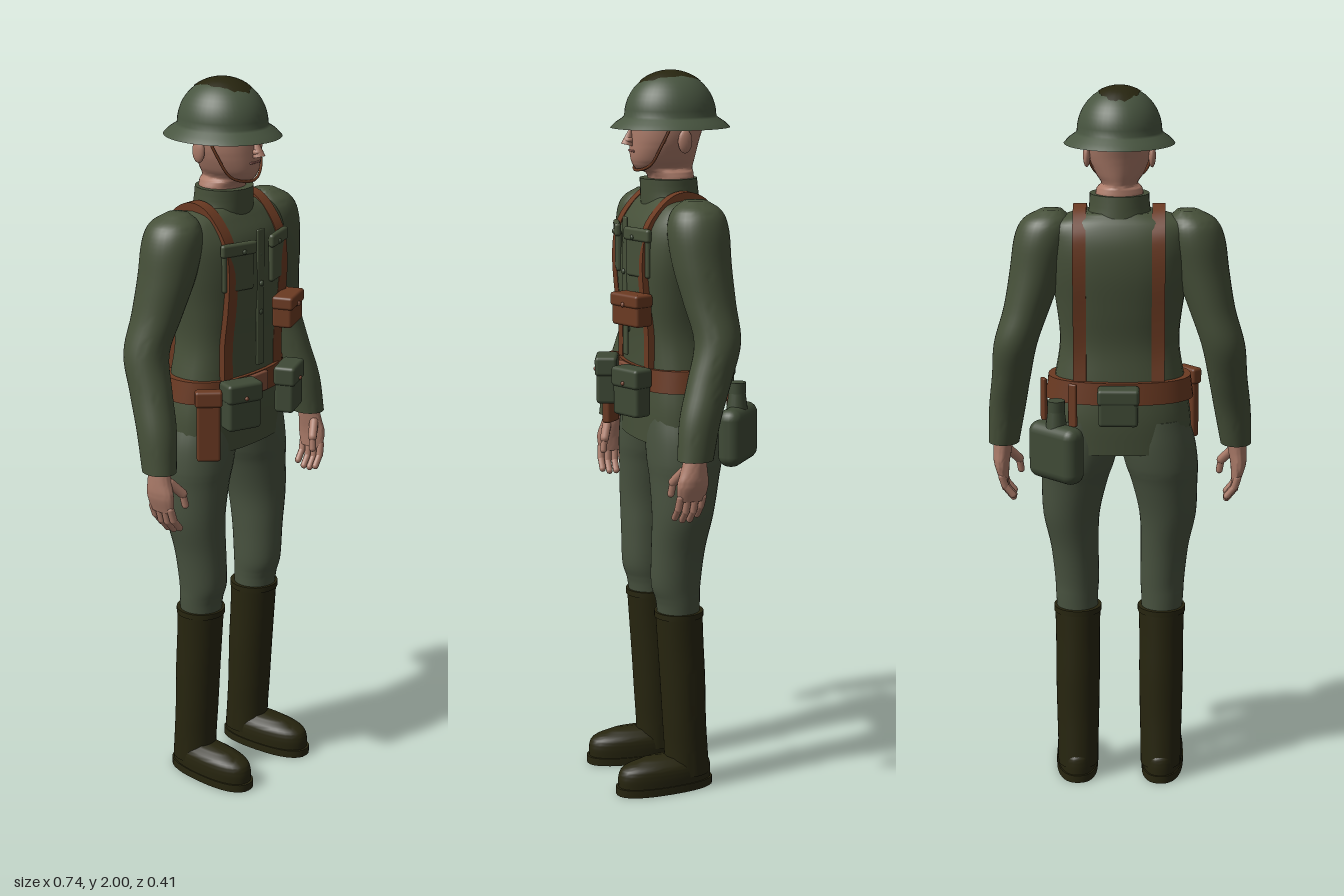
import * as THREE from 'three';
import { toCreasedNormals } from 'three/addons/utils/BufferGeometryUtils.js';
import { RoundedBoxGeometry } from 'three/addons/geometries/RoundedBoxGeometry.js';

const mat = (name, color, side = THREE.FrontSide) => {
  const m = new THREE.MeshStandardMaterial({ color, side });
  m.name = name;
  return m;
};
const V = (x, y, z) => new THREE.Vector3(x, y, z);

// Smooth body through horizontal rings [cx, cy, cz, rx, rz], listed upwards
function loft(rings, power = 2, steps = 5, sides = 32) {
  const centres = new THREE.CatmullRomCurve3(rings.map(r => V(r[0], r[1], r[2])), false, 'catmullrom', 0.5);
  const radii = new THREE.CatmullRomCurve3(rings.map(r => V(r[3], r[4], 0)), false, 'catmullrom', 0.5);
  const n = (rings.length - 1) * steps, pos = [], idx = [];
  const bend = v => Math.sign(v) * Math.abs(v) ** (2 / power);
  for (let i = 0; i <= n; i++) {
    const c = centres.getPoint(i / n), r = radii.getPoint(i / n);
    for (let j = 0; j < sides; j++) {
      const a = j / sides * Math.PI * 2;
      pos.push(c.x + r.x * bend(Math.cos(a)), c.y, c.z + r.y * bend(Math.sin(a)));
    }
  }
  const low = (n + 1) * sides, top = low + 1, last = n * sides;
  pos.push(...rings[0].slice(0, 3), ...rings[rings.length - 1].slice(0, 3));
  for (let j = 0; j < sides; j++) {
    const k = (j + 1) % sides;
    for (let i = 0; i < n; i++) {
      const a = i * sides + j, b = i * sides + k, c = a + sides, d = b + sides;
      idx.push(a, c, b, b, c, d);
    }
    idx.push(low, j, k, top, last + k, last + j);
  }
  const g = new THREE.BufferGeometry();
  g.setAttribute('position', new THREE.Float32BufferAttribute(pos, 3));
  g.setIndex(idx);
  return toCreasedNormals(g, 0.9);
}

const torsoRings = [
  [0, 1.0, 0.006, 0.2, 0.112], [0, 1.1, 0.005, 0.197, 0.114], [0, 1.2, 0.008, 0.18, 0.108],
  [0, 1.3, 0.014, 0.165, 0.106], [0, 1.4, 0.014, 0.174, 0.117], [0, 1.5, 0.01, 0.192, 0.123],
  [0, 1.58, 0.005, 0.2, 0.114], [0, 1.635, -0.003, 0.19, 0.088], [0, 1.665, -0.003, 0.11, 0.065]];

// Depth of the jacket's surface at x, y; s = 1 front, -1 back
function torsoZ(x, y, s = 1) {
  let i = 0;
  while (i < torsoRings.length - 2 && torsoRings[i + 1][1] < y) i++;
  const a = torsoRings[i], b = torsoRings[i + 1], t = (y - a[1]) / (b[1] - a[1]);
  const mix = k => a[k] + (b[k] - a[k]) * t;
  return mix(2) + s * mix(4) * Math.max(0, 1 - Math.abs(x / mix(3)) ** 2.4) ** (1 / 2.4);
}

// Flat strap running from the belt over one shoulder and down the back
function strapGeometry(x) {
  const pts = [];
  for (const y of [1.18, 1.3, 1.4, 1.5, 1.58, 1.63]) pts.push(V(torsoZ(x, y) + 0.007, y, 0));
  pts.push(V(0.04, 1.672, 0), V(-0.005, 1.683, 0), V(-0.05, 1.668, 0));
  for (const y of [1.62, 1.56, 1.48, 1.38, 1.28, 1.18]) pts.push(V(torsoZ(x, y, -1) - 0.007, y, 0));
  const curve = new THREE.CatmullRomCurve3(pts), outer = [], inner = [];
  for (let i = 0; i <= 50; i++) {
    const p = curve.getPoint(i / 50), t = curve.getTangent(i / 50);
    outer.push(new THREE.Vector2(p.x, p.y));
    inner.unshift(new THREE.Vector2(p.x - t.y * 0.022, p.y + t.x * 0.022));
  }
  const g = new THREE.ExtrudeGeometry(new THREE.Shape([...outer, ...inner]), { depth: 0.036, bevelEnabled: false });
  g.rotateY(-Math.PI / 2); // shape x becomes z, depth runs along -x
  g.translate(x + 0.018, 0, 0);
  return toCreasedNormals(g, 0.6);
}

export function createModel() {
  const model = new THREE.Group();
  const cloth = mat('uniform green', 0x465039), trousers = mat('trouser green', 0x48523f);
  const steel = mat('helmet green', 0x485540), dark = mat('dark boot', 0x27250f, THREE.DoubleSide);
  const leather = mat('brown leather', 0x6b3a22), buckleMat = mat('buckle', 0x7f4d39);
  const webbing = mat('pouch green', 0x3f4a36), skin = mat('skin', 0xab7b69), lip = mat('lips', 0x7d5048);

  const add = (name, geo, m, p = [0, 0, 0], r = [0, 0, 0], s = [1, 1, 1]) => {
    const mesh = new THREE.Mesh(geo, m);
    mesh.name = name;
    mesh.position.set(...p);
    mesh.rotation.set(...r);
    mesh.scale.set(...s);
    model.add(mesh);
    return mesh;
  };
  const box = (name, w, h, d, m, p, ry = 0, rad = 0.008) =>
    add(name, new RoundedBoxGeometry(w, h, d, 3, Math.min(rad, d / 2.1)), m, p, [0, ry, 0]);
  const ball = (name, m, p, s) => add(name, new THREE.SphereGeometry(1, 18, 12), m, p, [0, 0, 0], s);
  const limb = (name, a, b, r, m) => {
    const d = b.clone().sub(a);
    const mesh = add(name, new THREE.CapsuleGeometry(r, d.length(), 4, 10), m, a.clone().add(b).multiplyScalar(0.5).toArray());
    mesh.quaternion.setFromUnitVectors(V(0, 1, 0), d.normalize());
  };

  // Jacket and collar
  add('jacket', loft(torsoRings, 2.4), cloth);
  add('collar', loft([[0, 1.64, 0, 0.092, 0.08], [0, 1.675, 0.003, 0.083, 0.079], [0, 1.712, 0.006, 0.081, 0.078]]), cloth);
  box('jacketPlacket', 0.03, 0.38, 0.008, cloth, [0, 1.42, 0.131]);
  for (const y of [1.3, 1.38, 1.46, 1.54]) ball('jacketButton', webbing, [0, y, torsoZ(0, y) + 0.004], [0.008, 0.008, 0.006]);

  // Head
  add('head', loft([
    [0, 1.65, -0.002, 0.066, 0.062], [0, 1.72, 0, 0.064, 0.064], [0, 1.738, 0.018, 0.05, 0.08],
    [0, 1.765, 0.022, 0.066, 0.09], [0, 1.81, 0.018, 0.083, 0.096], [0, 1.86, 0.01, 0.088, 0.102],
    [0, 1.91, 0.005, 0.082, 0.095], [0, 1.95, 0, 0.05, 0.055]]), skin);
  add('nose', new THREE.ConeGeometry(0.018, 0.06, 10), skin, [0, 1.832, 0.117], [-0.25, 0, 0], [0.9, 1, 1]);
  ball('noseTip', skin, [0, 1.816, 0.12], [0.015, 0.01, 0.015]);
  box('mouth', 0.042, 0.006, 0.008, lip, [0, 1.787, 0.111]);

  // Helmet shell, lining, crown patch
  const domeY = r => 1.88 + 0.12 * Math.sqrt(Math.max(0, 1 - r * r));
  const shell = [new THREE.Vector2(0.15, 1.848), new THREE.Vector2(0.137, 1.862), new THREE.Vector2(0.12, 1.874)];
  for (let i = 0; i <= 12; i++) {
    const a = i / 12 * Math.PI / 2;
    shell.push(new THREE.Vector2(0.115 * Math.cos(a), 1.88 + 0.12 * Math.sin(a)));
  }
  add('helmetShell', new THREE.LatheGeometry(shell, 48), steel, [0, 0, 0], [0, 0, 0], [1, 1, 1.1]);
  const lining = [[0.15, 1.847], [0.135, 1.857], [0.112, 1.872], [0.106, 1.91], [0.08, 1.95], [0, 1.98]];
  add('helmetBrimUnderside', new THREE.LatheGeometry(lining.slice(0, 3).reverse().map(p => new THREE.Vector2(...p)), 48),
    steel, [0, 0, 0], [0, 0, 0], [1, 1, 1.1]);
  add('helmetLining', new THREE.LatheGeometry(lining.slice(2).map(p => new THREE.Vector2(...p)), 48),
    dark, [0, 0, 0], [0, 0, 0], [1, 1, 1.1]);
  const patch = new THREE.RingGeometry(0.001, 1, 48, 6).rotateX(-Math.PI / 2);
  const pp = patch.attributes.position;
  for (let i = 0; i < pp.count; i++) {
    const a = Math.atan2(pp.getZ(i), pp.getX(i));
    const k = 1 + 0.03 * Math.sin(9 * a) + 0.025 * Math.sin(17 * a + 1);
    const x = pp.getX(i) * 0.057 * k, z = pp.getZ(i) * 0.086 * k;
    pp.setXYZ(i, x, domeY(Math.hypot(x / 0.115, z / 0.1265)) + 0.002, z);
  }
  patch.computeVertexNormals();
  add('helmetCrownPatch', patch, dark);
  add('chinStrap', new THREE.TubeGeometry(new THREE.CatmullRomCurve3([
    V(-0.104, 1.87, 0.03), V(-0.09, 1.81, 0.055), V(-0.062, 1.752, 0.08), V(0, 1.735, 0.1),
    V(0.062, 1.752, 0.08), V(0.09, 1.81, 0.055), V(0.104, 1.87, 0.03)]), 40, 0.004, 6), leather);

  for (const s of [-1, 1]) {
    const side = s > 0 ? 'left' : 'right';
    const mirror = rings => rings.map(r => [r[0] * s, ...r.slice(1)]);
    ball(side + 'Ear', skin, [s * 0.088, 1.815, -0.01], [0.01, 0.032, 0.02]);

    // Sleeve
    add(side + 'Sleeve', loft(mirror([
      [0.327, 0.995, 0.05, 0.043, 0.049], [0.315, 1.1, 0.032, 0.051, 0.056], [0.3, 1.2, 0, 0.054, 0.06],
      [0.285, 1.3, -0.028, 0.06, 0.063], [0.253, 1.4, -0.018, 0.064, 0.071], [0.226, 1.5, -0.006, 0.074, 0.08],
      [0.207, 1.59, -0.002, 0.08, 0.083], [0.197, 1.64, -0.002, 0.066, 0.068], [0.185, 1.668, -0.002, 0.03, 0.03]])), cloth);

    // Hand
    add(side + 'Palm', loft(mirror([
      [0.33, 0.885, 0.063, 0.014, 0.038], [0.335, 0.93, 0.06, 0.022, 0.044],
      [0.332, 0.97, 0.055, 0.026, 0.036], [0.327, 1.01, 0.05, 0.028, 0.03]])), skin);
    for (let f = 0; f < 4; f++) {
      const z = 0.031 + f * 0.021, drop = [0.012, 0, 0, 0.008][f];
      const knuckle = V(s * 0.333, 0.895, z), joint = V(s * 0.325, 0.856 + drop, z + 0.003), tip = V(s * 0.303, 0.828 + drop, z + 0.005);
      limb(side + 'Finger', knuckle, joint, 0.0105, skin);
      limb(side + 'Fingertip', joint, tip, 0.0095, skin);
    }
    limb(side + 'Thumb', V(s * 0.318, 0.965, 0.08), V(s * 0.288, 0.93, 0.098), 0.013, skin);
    limb(side + 'ThumbTip', V(s * 0.288, 0.93, 0.098), V(s * 0.283, 0.897, 0.103), 0.01, skin);

    // Trouser leg
    add(side + 'TrouserLeg', loft(mirror([
      [0.12, 0.49, 0.02, 0.058, 0.058], [0.122, 0.55, 0.023, 0.06, 0.062], [0.122, 0.6, 0.029, 0.063, 0.07],
      [0.128, 0.7, 0.024, 0.068, 0.076], [0.136, 0.8, 0.014, 0.08, 0.086], [0.126, 0.9, 0.006, 0.093, 0.097],
      [0.118, 0.95, 0.003, 0.102, 0.104], [0.106, 1.02, 0.002, 0.105, 0.105], [0.1, 1.09, 0.002, 0.09, 0.1]])), trousers);

    // Boot
    add(side + 'BootShaft', loft(mirror([
      [0.12, 0.04, -0.006, 0.058, 0.064], [0.12, 0.12, -0.002, 0.059, 0.062], [0.12, 0.2, 0.003, 0.061, 0.062],
      [0.12, 0.32, 0.008, 0.063, 0.064], [0.12, 0.42, 0.014, 0.063, 0.065], [0.12, 0.515, 0.019, 0.065, 0.066]])), dark);
    add(side + 'BootCuff', loft(mirror([[0.12, 0.503, 0.019, 0.068, 0.069], [0.12, 0.519, 0.019, 0.068, 0.069]]), 2, 1), dark);
    const foot = new THREE.Group();
    foot.name = side + 'Foot';
    foot.position.set(s * 0.122, 0, 0);
    foot.rotation.y = s * 0.06;
    foot.add(add(side + 'BootFoot', loft([
      [0, 0.015, 0.064, 0.057, 0.138], [0, 0.05, 0.064, 0.058, 0.138], [0, 0.075, 0.06, 0.052, 0.128],
      [0, 0.094, 0.045, 0.03, 0.09]], 2.3), dark));
    foot.add(add(side + 'BootSole', loft([[0, 0, 0.065, 0.06, 0.144], [0, 0.022, 0.065, 0.06, 0.144]], 2.4, 1), dark));
    model.add(foot);

    // Chest pocket with flap, shoulder strap
    const pz = torsoZ(0.085, 1.52);
    box(side + 'ChestPocket', 0.1, 0.11, 0.018, cloth, [s * 0.085, 1.51, pz - 0.001], s * 0.3);
    box(side + 'PocketFlap', 0.112, 0.036, 0.018, cloth, [s * 0.085, 1.57, pz + 0.003], s * 0.3);
    ball(side + 'PocketButton', webbing, [s * 0.075, 1.562, pz + 0.016], [0.007, 0.007, 0.005]);
    add(side + 'Suspender', strapGeometry(s * 0.107), leather);

    // Belt pouch
    box(side + 'BeltPouch', 0.1, 0.125, 0.055, webbing, [s * 0.105, 1.143, 0.15], s * 0.38, 0.01);
    box(side + 'BeltPouchFlap', 0.106, 0.055, 0.062, webbing, [s * 0.105, 1.186, 0.151], s * 0.38, 0.01);
    ball(side + 'PouchStud', buckleMat, [s * 0.117, 1.172, 0.181], [0.006, 0.006, 0.005]);
  }

  // Belt and buckle
  add('belt', loft([[0, 1.147, 0.005, 0.205, 0.125], [0, 1.208, 0.006, 0.197, 0.121]], 2.3, 1, 48), leather);
  box('buckle', 0.082, 0.056, 0.014, buckleMat, [-0.008, 1.178, 0.13], 0, 0.005);

  // Leather ammunition case on the chest
  box('chestCase', 0.108, 0.085, 0.055, leather, [0.1, 1.37, 0.147], 0.36);
  box('chestCaseFlap', 0.114, 0.036, 0.06, leather, [0.1, 1.397, 0.149], 0.36);
  ball('chestCaseStud', buckleMat, [0.111, 1.386, 0.178], [0.007, 0.007, 0.005]);

  // Scabbard on the right hip
  box('scabbard', 0.065, 0.2, 0.026, leather, [-0.193, 1.1, 0.11], -0.82);
  box('scabbardLoop', 0.074, 0.045, 0.034, leather, [-0.194, 1.178, 0.111], -0.82);

  // Pouch at the small of the back
  box('backPouch', 0.108, 0.1, 0.055, webbing, [0, 1.15, -0.146], 0, 0.01);
  box('backPouchFlap', 0.114, 0.045, 0.06, webbing, [0, 1.182, -0.146], 0, 0.01);

  // Canteen with neck and hangers on the left hip
  box('canteen', 0.175, 0.16, 0.068, webbing, [0.17, 1.02, -0.135], -0.73, 0.03);
  add('canteenNeck', new THREE.CylinderGeometry(0.022, 0.03, 0.06, 20), webbing, [0.17, 1.115, -0.132]);
  add('canteenCap', new THREE.CylinderGeometry(0.024, 0.024, 0.03, 20), webbing, [0.17, 1.15, -0.132]);
  box('canteenHanger', 0.025, 0.12, 0.012, leather, [0.125, 1.15, -0.127], -0.5, 0.004);
  box('canteenHanger', 0.025, 0.12, 0.012, leather, [0.207, 1.15, -0.06], -1.1, 0.004);
  return model;
}
